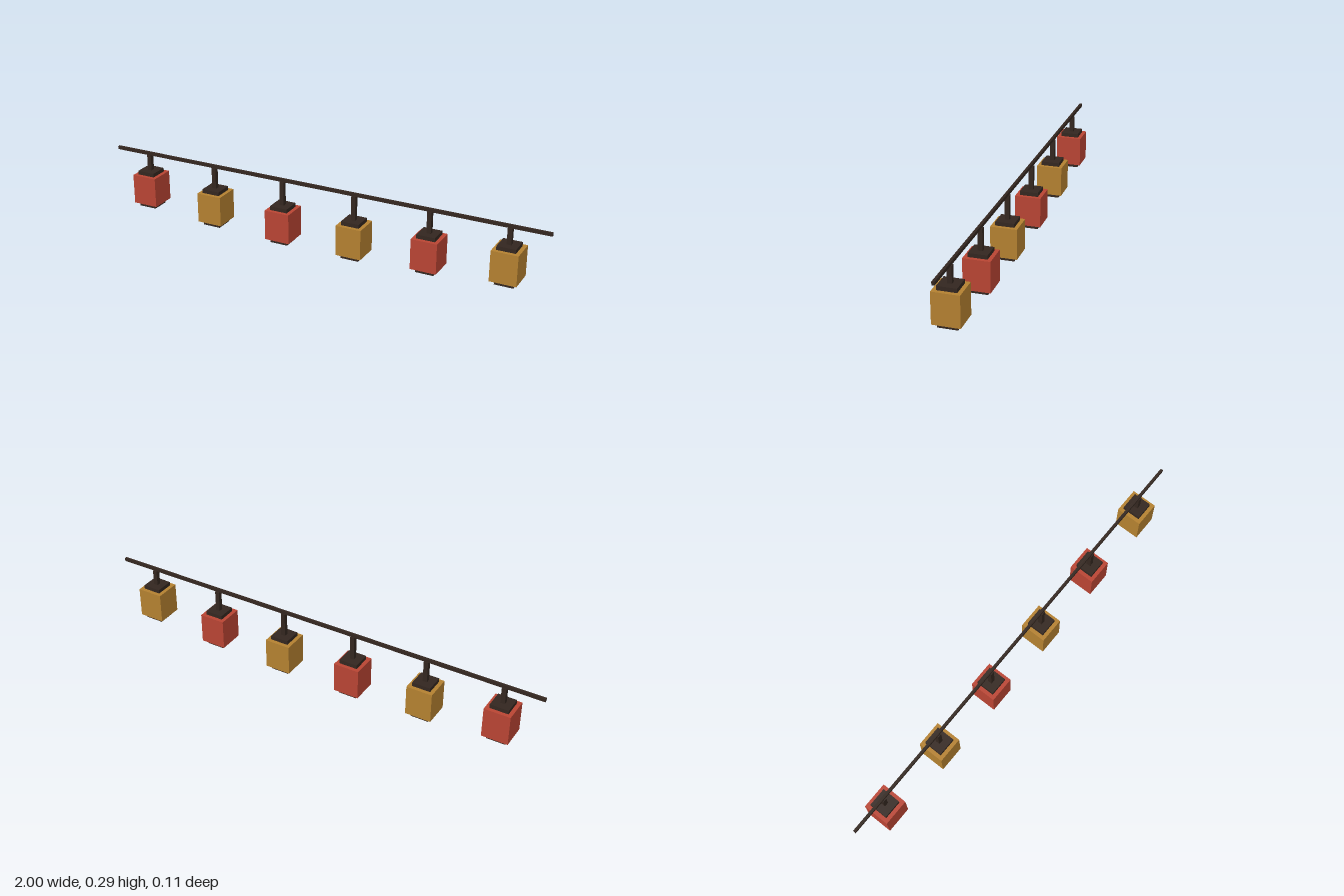
import * as THREE from 'three';

const dark = new THREE.MeshStandardMaterial({ color: 0x33261f });
const red = new THREE.MeshStandardMaterial({ color: 0xb84433 });
const gold = new THREE.MeshStandardMaterial({ color: 0xb38030 });

// Square-section box spanning y0..y1
function block(name, width, y0, y1, depth, material) {
  const mesh = new THREE.Mesh(new THREE.BoxGeometry(width, y1 - y0, depth), material);
  mesh.name = name;
  mesh.position.y = (y0 + y1) / 2;
  return mesh;
}

// One hanging lantern whose lowest point is at the given height
function createLantern(base, shade) {
  const lantern = new THREE.Group();
  lantern.name = 'lantern';
  lantern.add(
    block('bottomCap', 0.08, base, base + 0.0175, 0.08, dark),
    block('shade', 0.113, base + 0.0175, base + 0.15, 0.113, shade),
    block('topCap', 0.08, base + 0.15, base + 0.167, 0.08, dark),
    block('hanger', 0.019, base + 0.167, 0.2725, 0.019, dark)
  );
  return lantern;
}

export function createModel() {
  const model = new THREE.Group();
  model.name = 'lanternString';

  // Horizontal cord
  model.add(block('cord', 2, 0.272, 0.286, 0.0115, dark));

  // Six lanterns, lower towards the middle, alternating colours
  const bases = [0.036, 0.0125, 0, 0, 0.0125, 0.036];
  bases.forEach((base, i) => {
    const lantern = createLantern(base, i % 2 ? gold : red);
    lantern.position.x = (i - 2.5) / 3;
    model.add(lantern);
  });
  return model;
}
